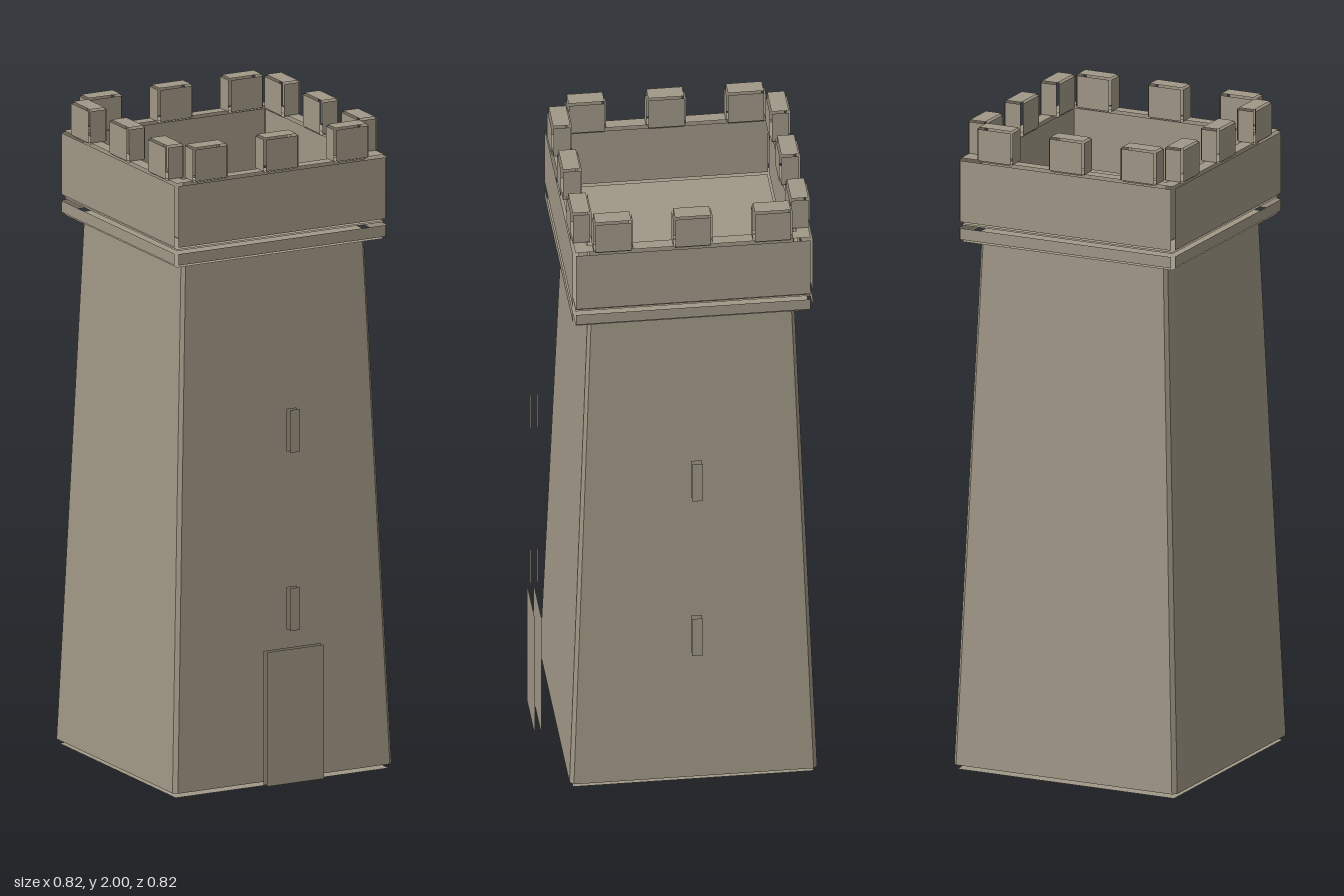
import * as THREE from 'three';

export function createModel() {
  const model = new THREE.Group();
  const stone = new THREE.MeshStandardMaterial({ color: 0xa09786, side: THREE.DoubleSide });
  stone.name = 'stone';

  const add = (parent, name, geometry, x = 0, y = 0, z = 0, ry = 0) => {
    const mesh = new THREE.Mesh(geometry, stone);
    mesh.name = name;
    mesh.position.set(x, y, z);
    mesh.rotation.y = ry;
    parent.add(mesh);
    return mesh;
  };

  // Six separate flat panels: each face is shrunk by g, leaving open seams at the edges
  const panelBox = (w, h, d, g, skipTop = false) => {
    const geo = new THREE.BoxGeometry(w, h, d);
    const p = geo.attributes.position, n = geo.attributes.normal;
    for (let i = 0; i < p.count; i++) {
      for (const k of ['X', 'Y', 'Z']) {
        const v = p['get' + k](i);
        p['set' + k](i, v - Math.sign(v) * g * (1 - Math.abs(n['get' + k](i))));
      }
    }
    if (skipTop) geo.setIndex([...geo.index.array].filter((_, i) => i < 12 || i >= 18));
    return geo;
  };

  const squarePath = (target, r) => {
    target.moveTo(-r, -r);
    target.lineTo(r, -r);
    target.lineTo(r, r);
    target.lineTo(-r, r);
    target.closePath();
    return target;
  };

  // The tower stands slightly off centre
  const tower = new THREE.Group();
  tower.name = 'tower';
  tower.position.set(-0.035, 0, -0.035);
  model.add(tower);

  // Tapered trunk with chamfered corners
  const r = 0.373, c = 0.012, trunkHeight = 1.612;
  const outline = new THREE.Shape([
    [r, -r + c], [r, r - c], [r - c, r], [-r + c, r],
    [-r, r - c], [-r, -r + c], [-r + c, -r], [r - c, -r],
  ].map(([x, y]) => new THREE.Vector2(x, y)));
  const trunk = new THREE.ExtrudeGeometry(outline, { depth: trunkHeight, bevelEnabled: false });
  trunk.rotateX(-Math.PI / 2);
  const tp = trunk.attributes.position;
  for (let i = 0; i < tp.count; i++) {
    const s = 1 - 0.165 * tp.getY(i) / trunkHeight;
    tp.setX(i, tp.getX(i) * s);
    tp.setZ(i, tp.getZ(i) * s);
  }
  trunk.computeVertexNormals();
  add(tower, 'trunk', trunk, 0, 0.015, 0);
  add(tower, 'base', new THREE.PlaneGeometry(0.726, 0.726).rotateX(Math.PI / 2));

  // Corbel course under the parapet
  add(tower, 'corbelCourse', panelBox(0.722, 0.051, 0.722, 0.008), 0, 1.6625, 0);

  // Parapet: outer walls, rim, inner walls and floor
  add(tower, 'parapetWall', panelBox(0.722, 0.206, 0.722, 0.008, true), 0, 1.795, 0);
  const rim = squarePath(new THREE.Shape(), 0.354);
  rim.holes.push(squarePath(new THREE.Path(), 0.316));
  add(tower, 'parapetRim', new THREE.ShapeGeometry(rim).rotateX(-Math.PI / 2), 0, 1.897, 0);
  for (let i = 0; i < 4; i++) {
    const a = i * Math.PI / 2;
    add(tower, 'parapetInnerWall', new THREE.PlaneGeometry(0.616, 0.185),
      -0.31 * Math.sin(a), 1.7975, -0.31 * Math.cos(a), a);
  }
  add(tower, 'roofFloor', new THREE.PlaneGeometry(0.61, 0.61).rotateX(-Math.PI / 2), 0, 1.7, 0);

  // Three merlons on each side
  const merlon = panelBox(0.118, 0.108, 0.062, 0.005);
  for (let side = 0; side < 4; side++) {
    const row = new THREE.Group();
    row.name = 'merlonRow';
    row.rotation.y = side * Math.PI / 2;
    for (const x of [-0.24, 0, 0.24]) add(row, 'merlon', merlon, x, 1.946, 0.329);
    tower.add(row);
  }

  // Door and arrow slits stand proud of the walls as thin double plates
  const plate = (w, h) => {
    const d = 0.02;
    const front = new THREE.PlaneGeometry(w, h).translate(0, 0, d / 2);
    const back = new THREE.PlaneGeometry(w, h).rotateY(Math.PI).translate(0, 0, -d / 2);
    return [front, back];
  };
  for (const g of plate(0.195, 0.415)) add(model, 'door', g, -0.035, 0.2275, 0.4);
  for (const y of [0.557, 1.108]) {
    for (const g of plate(0.034, 0.132)) {
      add(model, 'frontSlit', g, -0.037, y, 0.4);
      add(model, 'sideSlit', g, 0.4, y, -0.037, Math.PI / 2);
    }
  }

  return model;
}
